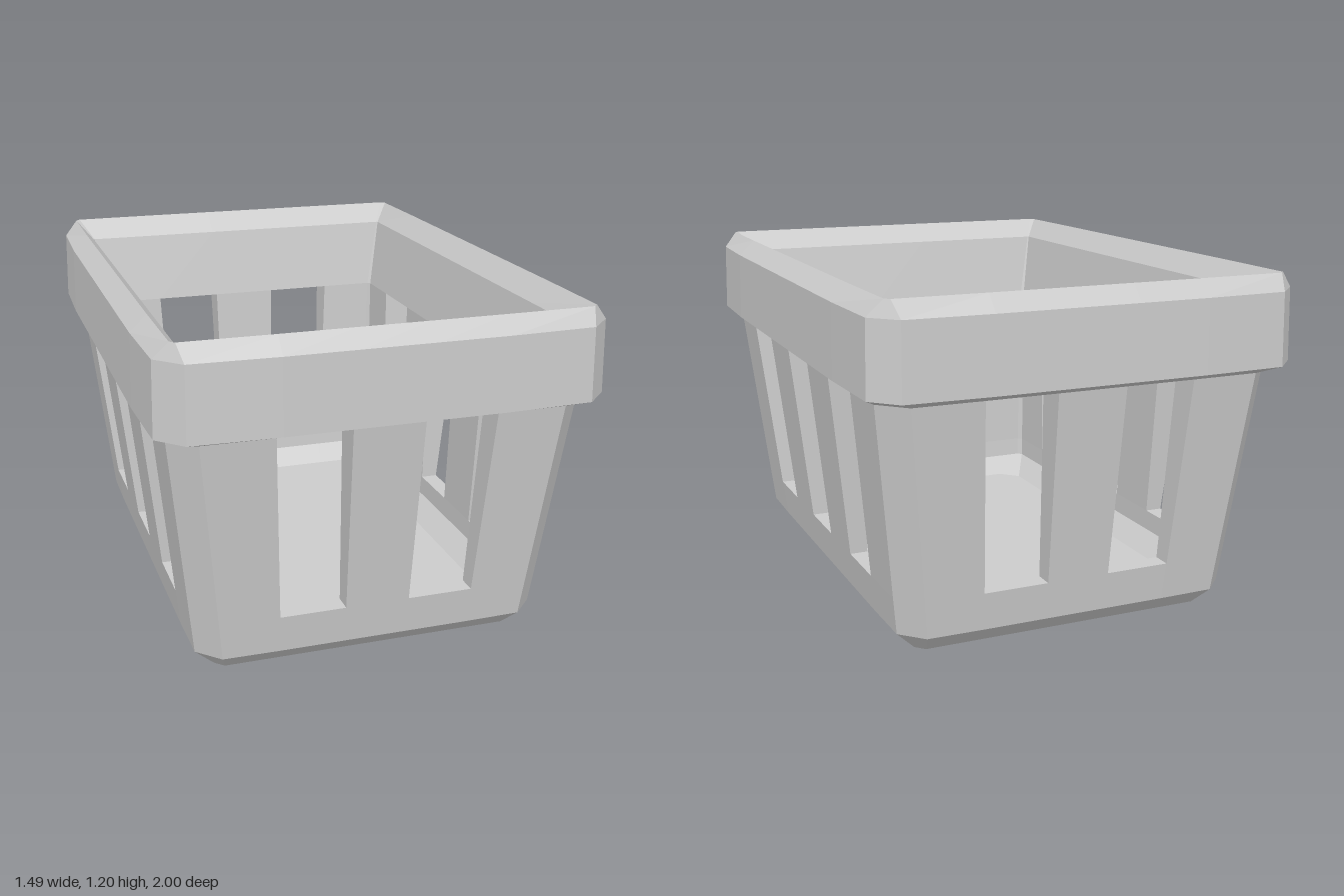
import * as THREE from 'three';

// Window edges along the short and long walls, before scaling with height
const SHORT = [-0.335, -0.11, 0.11, 0.335];
const LONG = [-0.56, -0.34, -0.113, 0.113, 0.34, 0.56];

// Cross-sections from the underside, up the outside, over the lip and down inside:
// [y, half width, half depth, corner chamfer, window scale, outward bulge]
const SECTIONS = [
  [0.0, 0.33, 0.56, 0.01, 0.93, 0],
  [0.02, 0.53, 0.755, 0.03, 0.96, 0],
  [0.09, 0.6, 0.83, 0.075, 0.98, 0.003],
  [0.22, 0.615, 0.845, 0.077, 1, 0.003],
  [0.87, 0.688, 0.92, 0.085, 1.09, 0.003],
  [0.9, 0.737, 0.99, 0.082, 1.09, 0.01],
  [1.145, 0.732, 0.984, 0.08, 1.09, 0.01],
  [1.2, 0.683, 0.942, 0.015, 1.09, 0.003],
  [1.13, 0.625, 0.865, 0.004, 1.09, 0],
  [0.87, 0.575, 0.815, 0.01, 1.09, 0],
  [0.22, 0.557, 0.782, 0.015, 1, 0],
  [0.15, 0.553, 0.775, 0.015, 0.98, 0],
  [0.085, 0.485, 0.71, 0.065, 0.95, 0],
];

// Chamfered rectangle, running counter-clockwise seen from above
function ring([y, hx, hz, c, s, bulge]) {
  const half = [];
  const wall = (edges, length, out, place) => {
    const us = [-length + c, ...edges.map((e) => e * s), length - c];
    us.forEach((u, i) => half.push(place(u, out + (i > 0 && i < us.length - 1 ? bulge : 0))));
  };
  wall(SHORT, hx, hz, (u, d) => [u, y, d]);
  wall(LONG, hz, hx, (u, d) => [d, y, -u]);
  return [...half, ...half.map(([x, yy, z]) => [-x, yy, -z])];
}

const rings = SECTIONS.map(ring);
const COUNT = rings[0].length;
const next = (j) => (j + 1) % COUNT;
const cornerColumns = [5, 13, 19, 27];
const isWindow = (j) => j % 2 === 1 && !cornerColumns.includes(j);

function quad(out, a, b, c, d) {
  out.push(...a, ...b, ...c, ...a, ...c, ...d);
}

// Skin between consecutive sections, optionally leaving the windows open
function loft(out, from, to, open = false) {
  for (let i = from; i < to; i++) {
    for (let j = 0; j < COUNT; j++) {
      if (open && isWindow(j)) continue;
      const k = next(j);
      quad(out, rings[i][j], rings[i][k], rings[i + 1][k], rings[i + 1][j]);
    }
  }
}

// Flat cap closing a section
function cap(out, i, up) {
  const centre = [0, SECTIONS[i][0], 0];
  for (let j = 0; j < COUNT; j++) {
    const a = rings[i][j], b = rings[i][next(j)];
    out.push(...centre, ...(up ? a : b), ...(up ? b : a));
  }
}

function makeMesh(name, positions) {
  const geometry = new THREE.BufferGeometry();
  geometry.setAttribute('position', new THREE.Float32BufferAttribute(positions, 3));
  geometry.computeVertexNormals();
  const mesh = new THREE.Mesh(
    geometry,
    new THREE.MeshStandardMaterial({ color: 0xcccccc, flatShading: true })
  );
  mesh.name = name;
  return mesh;
}

export function createModel() {
  const group = new THREE.Group();
  group.name = 'basket';

  // Base tray: underside, bevelled foot and inside floor
  const base = [];
  cap(base, 0, false);
  loft(base, 0, 3);
  loft(base, 10, 12);
  cap(base, 12, true);
  group.add(makeMesh('base', base));

  // Slatted walls, outer and inner skins
  const walls = [];
  loft(walls, 3, 4, true);
  loft(walls, 9, 10, true);
  group.add(makeMesh('slattedWalls', walls));

  // Sills, jambs and heads lining each window
  const linings = [];
  for (let j = 0; j < COUNT; j++) {
    if (!isWindow(j)) continue;
    const k = next(j);
    const outer = [rings[3][j], rings[3][k], rings[4][k], rings[4][j]];
    const inner = [rings[10][j], rings[10][k], rings[9][k], rings[9][j]];
    for (let e = 0; e < 4; e++) {
      const f = (e + 1) % 4;
      quad(linings, outer[e], outer[f], inner[f], inner[e]);
    }
  }
  group.add(makeMesh('windowLinings', linings));

  // Thick rim around the top
  const rim = [];
  loft(rim, 4, 9);
  group.add(makeMesh('rim', rim));

  return group;
}
